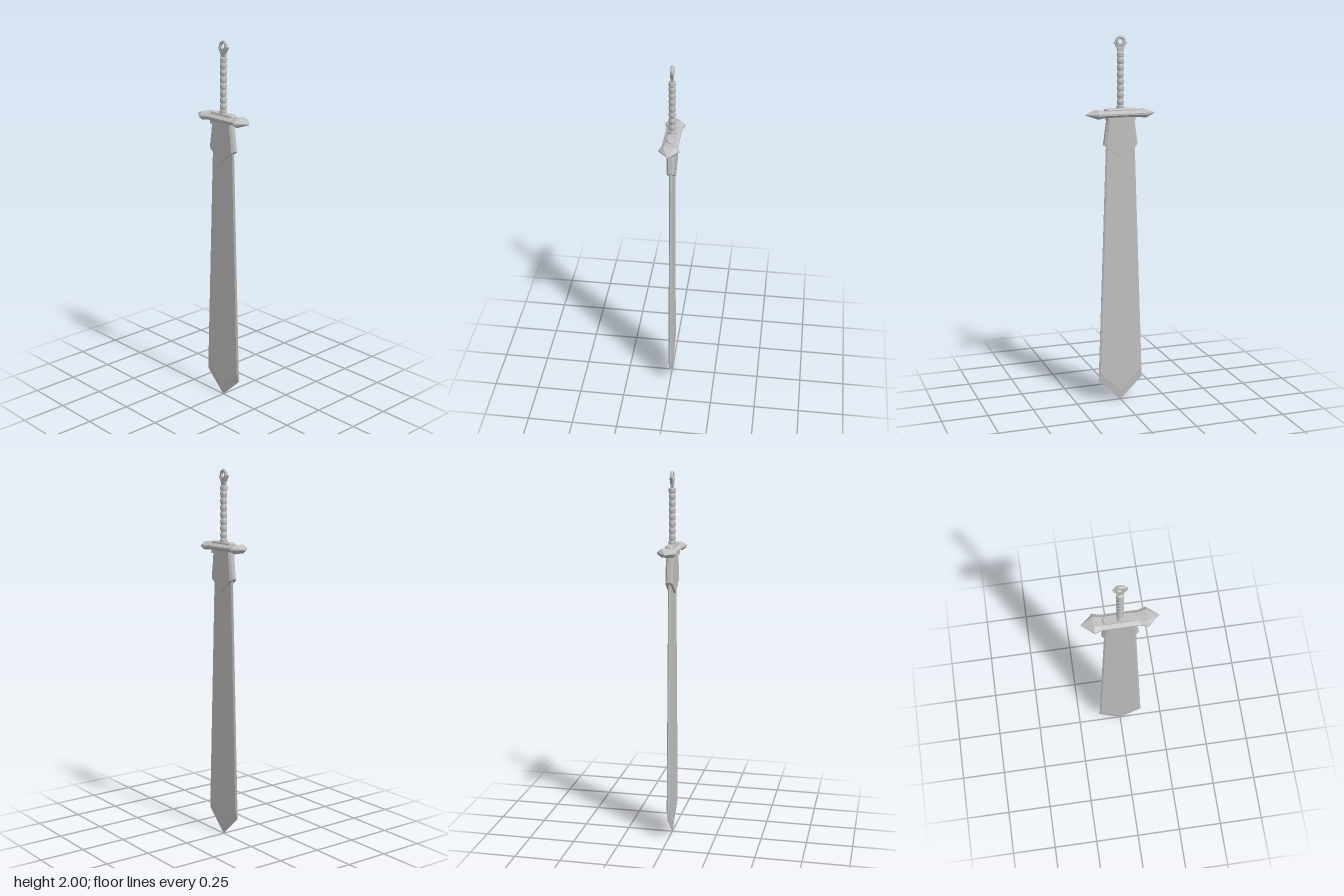
import * as THREE from 'three';

// Skin closed rings of [x, y, z] points, capping both ends
function loft(rings) {
  const pos = [], n = rings[0].length;
  const tri = (a, b, c) => pos.push(...a, ...b, ...c);
  for (let r = 0; r < rings.length - 1; r++) {
    const a = rings[r], b = rings[r + 1];
    for (let i = 0; i < n; i++) {
      const j = (i + 1) % n;
      tri(a[i], a[j], b[j]);
      tri(a[i], b[j], b[i]);
    }
  }
  const s = rings[0], e = rings[rings.length - 1];
  for (let i = 1; i < n - 1; i++) {
    tri(s[0], s[i + 1], s[i]);
    tri(e[0], e[i], e[i + 1]);
  }
  const g = new THREE.BufferGeometry();
  g.setAttribute('position', new THREE.Float32BufferAttribute(pos, 3));
  g.computeVertexNormals();
  return g;
}

// Pointed plate: outline of half-widths at top and shoulder, plus tip height
const outline = ([zTop, yTop, zLow, yLow, yTip], x) => [
  [x, yTop, -zTop], [x, yTop, zTop], [x, yLow, zLow], [x, yTip, 0], [x, yLow, -zLow],
];
const bevelPlate = (outer, inner, edge, thick) => loft([
  outline(inner, -thick), outline(outer, -edge), outline(outer, edge), outline(inner, thick),
]);

export function createModel() {
  const group = new THREE.Group();
  const steel = new THREE.MeshStandardMaterial({ color: 0xbfbfbf, flatShading: true });
  steel.name = 'steel';
  const add = (name, geometry, y = 0) => {
    const mesh = new THREE.Mesh(geometry, steel);
    mesh.name = name;
    mesh.position.y = y;
    group.add(mesh);
    return mesh;
  };

  // Blade pointing down, with ground edges
  add('blade', bevelPlate([0.078, 1.5, 0.126, 0.12, 0], [0.069, 1.5, 0.115, 0.165, 0.055], 0.001, 0.007));

  // Chevron collar around the blade root
  add('collar', bevelPlate([0.075, 1.565, 0.094, 1.43, 1.36], [0.064, 1.565, 0.08, 1.42, 1.36], 0.01, 0.02));
  add('guardUnderplate', new THREE.BoxGeometry(0.05, 0.02, 0.15), 1.567);

  // Crossguard lofted along z with flared, pointed ends
  const half = [[0.195, 0.001, 0.001], [0.132, 0.052, 0.023], [0.095, 0.041, 0.018]];
  const stations = [
    ...half.map(([z, w, h]) => [-z, w, h]),
    ...half.slice().reverse(),
  ];
  const section = [[1, -0.25], [1, 0.25], [0.55, 1], [-0.55, 1], [-1, 0.25], [-1, -0.25], [-0.55, -1], [0.55, -1]];
  add('crossguard', loft(stations.map(([z, w, h]) => section.map(([x, y]) => [x * w, 1.592 + y * h, z]))));

  // Oval plate on top of the guard
  const oval = (w, l, y) => {
    const ring = [];
    for (let i = 0; i < 12; i++) {
      const a = (i + 0.5) / 12 * Math.PI * 2;
      const side = Math.sign(Math.sin(a));
      ring.push([Math.cos(a) * w, y, -(Math.sin(a) * w + side * (l - w))]);
    }
    return ring;
  };
  add('guardPlate', loft([oval(0.023, 0.089, 1.6), oval(0.023, 0.089, 1.615), oval(0.02, 0.084, 1.621)]));

  // Grip with wrapped bulges between two end bands
  const profile = [[0, 1.61], [0.02, 1.61], [0.02, 1.635], [0.015, 1.638]];
  const wraps = 7, step = 0.25 / wraps;
  for (let i = 0; i < wraps; i++) {
    const y = 1.638 + i * step;
    profile.push([0.0185, y + step * 0.35], [0.0185, y + step * 0.65], [0.015, y + step]);
  }
  profile.push([0.019, 1.892], [0.019, 1.91], [0.01, 1.914], [0, 1.914]);
  add('grip', new THREE.LatheGeometry(profile.map(([r, y]) => new THREE.Vector2(r, y)), 12));

  // Pommel: forked neck holding a flattened ring
  const fork = new THREE.Shape([
    [-0.012, 1.908], [0.012, 1.908], [0.018, 1.935], [0.037, 1.966], [0.022, 1.955], [0.011, 1.946],
    [-0.011, 1.946], [-0.022, 1.955], [-0.037, 1.966], [-0.018, 1.935],
  ].map(([z, y]) => new THREE.Vector2(z, y)));
  const forkGeometry = new THREE.ExtrudeGeometry(fork, { depth: 0.014, bevelEnabled: false });
  forkGeometry.translate(0, 0, -0.007).rotateY(Math.PI / 2);
  add('pommelFork', forkGeometry);

  const ring = new THREE.TorusGeometry(0.02, 0.009, 6, 16);
  ring.rotateY(Math.PI / 2);
  add('pommelRing', ring, 1.971);

  return group;
}
